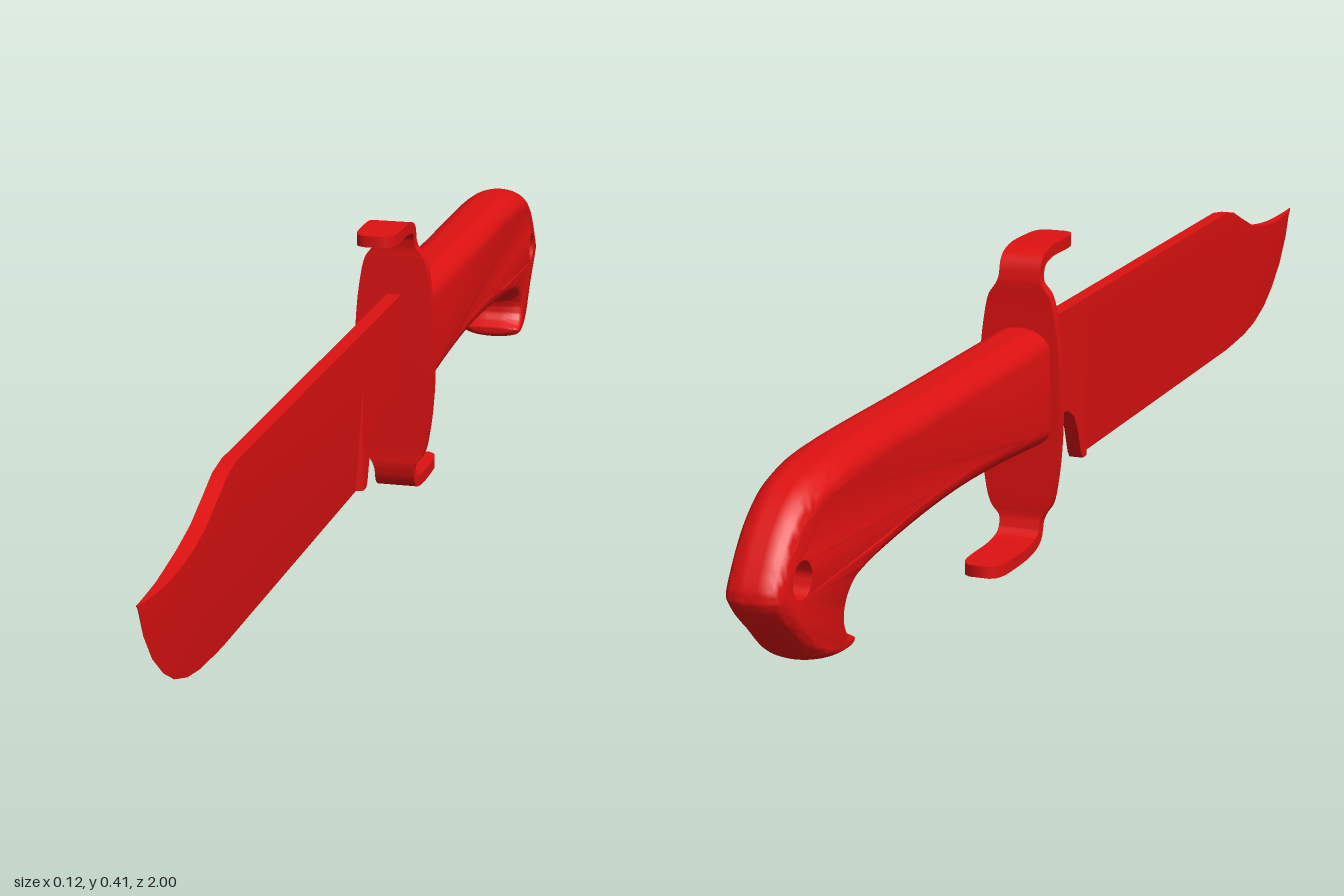
import * as THREE from 'three';
import { toCreasedNormals } from 'three/addons/utils/BufferGeometryUtils.js';

const V = (x, y, z) => new THREE.Vector3(x, y, z);

// Triangle list -> geometry with smooth faces and sharp creases
function fromTriangles(tris, crease) {
  const geo = new THREE.BufferGeometry().setFromPoints(tris);
  return toCreasedNormals(geo, crease);
}

// Skin between closed rings (counter-clockwise seen from the end they advance to)
function skin(rings) {
  const out = [];
  for (let k = 0; k + 1 < rings.length; k++) {
    const a = rings[k], b = rings[k + 1], n = a.length;
    for (let i = 0; i < n; i++) {
      const j = (i + 1) % n;
      out.push(a[i], a[j], b[j], a[i], b[j], b[i]);
    }
  }
  return out;
}

// Flat ends for convex rings
function caps(rings) {
  const out = [], a = rings[0], b = rings[rings.length - 1];
  for (let i = 1; i + 1 < a.length; i++) out.push(a[0], a[i + 1], a[i], b[0], b[i], b[i + 1]);
  return out;
}

// Blade: sections along z, wedge-shaped below the flat
function bladeGeometry() {
  // z, spine height, edge height, half thickness of spine, half thickness of edge
  const stations = [
    [-0.18, 0.297, 0.157, 0.01, 0.01], [-0.06, 0.297, 0.157, 0.01, 0.01],
    [-0.03, 0.297, 0.152, 0.01, 0.01], [-0.01, 0.297, 0.14, 0.01, 0.01],
    [0.005, 0.297, 0.118, 0.01, 0.01], [0.018, 0.297, 0.08, 0.01, 0.01],
    [0.025, 0.297, 0.071, 0.01, 0.01], [0.04, 0.297, 0.071, 0.01, 0.01],
    [0.045, 0.297, 0.071, 0.01, 0], [0.64, 0.297, 0.071, 0.01, 0],
    [0.68, 0.291, 0.071, 0.01, 0], [0.72, 0.274, 0.073, 0.01, 0],
    [0.77, 0.254, 0.076, 0.01, 0], [0.82, 0.242, 0.084, 0.01, 0],
    [0.87, 0.235, 0.1, 0.009, 0], [0.91, 0.232, 0.122, 0.007, 0],
    [0.95, 0.232, 0.154, 0.005, 0], [0.98, 0.233, 0.192, 0.003, 0],
    [1, 0.235, 0.234, 0.001, 0],
  ];
  const rings = stations.map(([z, t, b, h, e]) => {
    const m = Math.max(b, Math.min(t - 0.001, 0.22));
    return [V(h, t, z), V(-h, t, z), V(-h, m, z), V(-e, b, z), V(e, b, z), V(h, m, z)];
  });
  return fromTriangles([...skin(rings), ...caps(rings)], 0.4);
}

// Guard: flat strip bent into opposite hooks, widest in the middle
function guardGeometry() {
  // z, y, half width of the lower half
  const lower = [
    [-0.329, 0.009, 0.014], [-0.323, 0.009, 0.022], [-0.31, 0.009, 0.027], [-0.29, 0.009, 0.029],
    [-0.215, 0.01, 0.029], [-0.187, 0.019, 0.029], [-0.178, 0.042, 0.03], [-0.178, 0.062, 0.043],
    [-0.178, 0.1, 0.051], [-0.178, 0.15, 0.056],
  ];
  const upper = lower.map(([z, y, w]) => [-0.178 - (z + 0.178) * 0.85, 0.41 - y, w]).reverse();
  const curve = new THREE.CatmullRomCurve3(
    [...lower, [-0.178, 0.205, 0.0575], ...upper].map((p) => V(...p)));
  const steps = 100, t = 0.008;
  const rings = [];
  for (let i = 0; i <= steps; i++) {
    const p = curve.getPoint(i / steps), d = curve.getTangent(i / steps);
    const l = Math.hypot(d.x, d.y);
    const ny = (d.x / l) * t, nz = (-d.y / l) * t;
    const z = p.x, y = p.y, w = p.z;
    rings.push([V(w, y + ny, z + nz), V(-w, y + ny, z + nz), V(-w, y - ny, z - nz), V(w, y - ny, z - nz)]);
  }
  return fromTriangles([...skin(rings), ...caps(rings)], 0.7);
}

// Handle: side outline rounded over towards both sides, with a lanyard hole
function handleGeometry() {
  // distance back, height, size of the rounding
  const outline = new THREE.CatmullRomCurve3([
    [0.185, 0.14, 0.03], [0.35, 0.152, 0.03], [0.5, 0.156, 0.03], [0.65, 0.15, 0.03],
    [0.77, 0.14, 0.026], [0.81, 0.134, 0.018], [0.828, 0.121, 0.013], [0.832, 0.105, 0.011],
    [0.825, 0.091, 0.009], [0.808, 0.08, 0.006], [0.812, 0.067, 0.009], [0.85, 0.062, 0.014],
    [0.9, 0.075, 0.018], [0.95, 0.115, 0.018], [0.985, 0.147, 0.016], [1, 0.173, 0.014],
    [0.985, 0.208, 0.016], [0.95, 0.252, 0.02], [0.91, 0.281, 0.026], [0.86, 0.297, 0.03],
    [0.79, 0.305, 0.03], [0.5, 0.305, 0.03], [0.185, 0.305, 0.03],
  ].map((p) => V(...p))).getPoints(110);
  const n = outline.length;
  const halfWidth = (s) => 0.044 - 0.009 * THREE.MathUtils.smoothstep(s, 0.82, 1);
  const inward = outline.map((p, i) => {
    if (i === 0) return [0, 1];
    if (i === n - 1) return [0, -1];
    const a = outline[i - 1], b = outline[i + 1], l = Math.hypot(b.x - a.x, b.y - a.y);
    return [-(b.y - a.y) / l, (b.x - a.x) / l];
  });
  const rings = [];
  for (let k = 0; k <= 14; k++) {
    const a = (k / 14 - 0.5) * Math.PI;
    const f = 1 - Math.cos(a);
    rings.push(outline.map((p, i) => V(
      p.x + inward[i][0] * p.z * f, p.y + inward[i][1] * p.z * f, halfWidth(p.x) * Math.sin(a))));
  }
  // lanyard hole, clockwise
  const holeRing = (side) => Array.from({ length: 24 }, (_, i) => {
    const a = (-i / 24) * Math.PI * 2, x = 0.938 + 0.023 * Math.cos(a);
    return V(x, 0.185 + 0.023 * Math.sin(a), side * halfWidth(x));
  });
  const holes = [holeRing(-1), holeRing(1)];
  const flat = (ring) => ring.map((p) => new THREE.Vector2(p.x, p.y));
  const faces = THREE.ShapeUtils.triangulateShape(flat(rings[14]), [flat(holes[1])]);
  const right = [...rings[0], ...holes[0]], left = [...rings[14], ...holes[1]];
  const tris = [...skin(rings), ...skin(holes)];
  for (const [a, b, c] of faces) tris.push(left[a], left[b], left[c], right[a], right[c], right[b]);
  return fromTriangles(tris, 0.8).rotateY(Math.PI / 2);
}

export function createModel() {
  const group = new THREE.Group();
  group.name = 'knife';
  const red = new THREE.MeshStandardMaterial({ color: 0xdd1111 });
  const parts = { blade: bladeGeometry(), guard: guardGeometry(), handle: handleGeometry() };
  for (const [name, geometry] of Object.entries(parts)) {
    const mesh = new THREE.Mesh(geometry, red);
    mesh.name = name;
    group.add(mesh);
  }
  return group;
}
